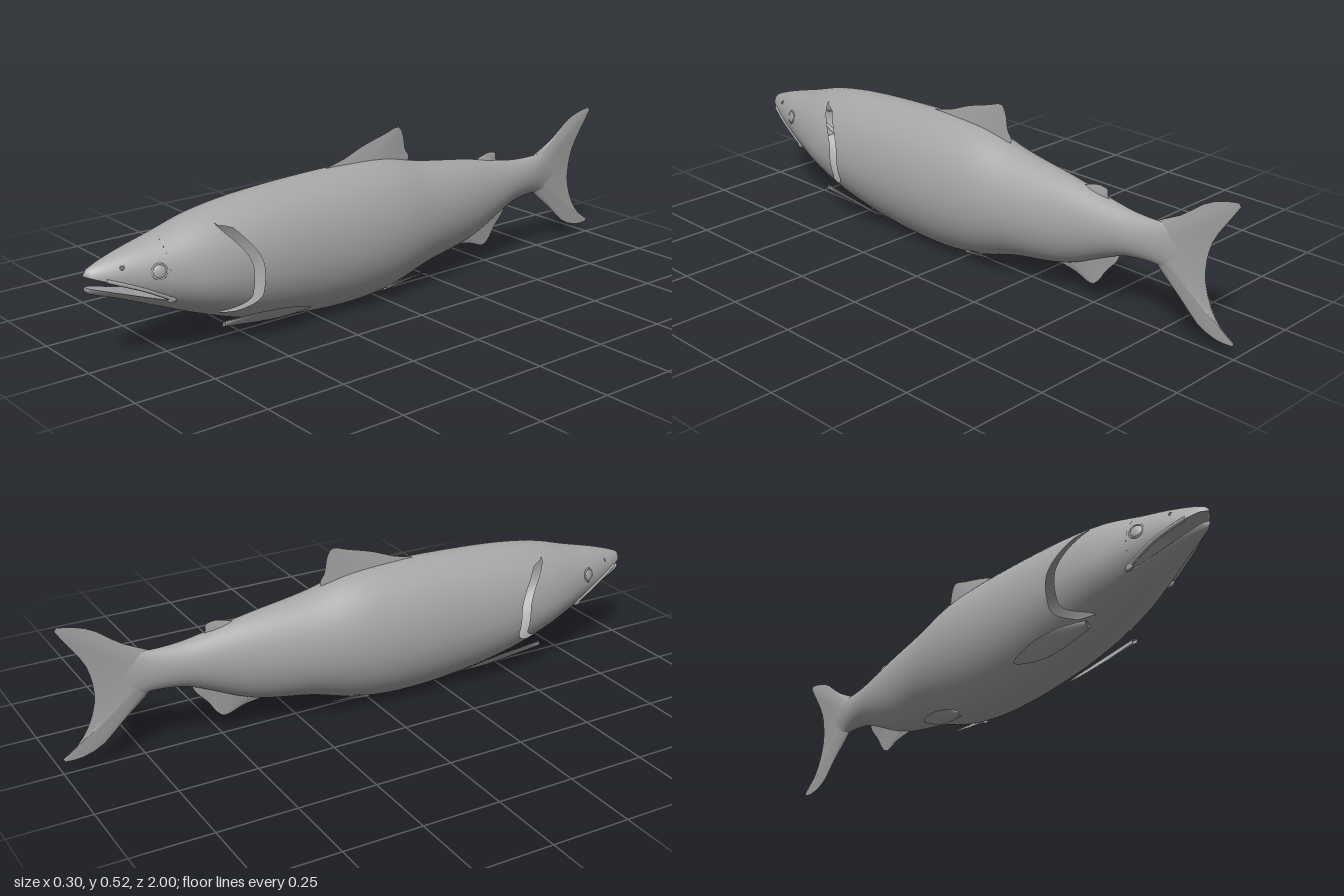
import * as THREE from 'three';

// Body stations from nose to tail: z, back height, belly height, half width, height of widest point
const STATIONS = [
  [1.0, .29, .245, 0, .27], [.985, .305, .232, .022, .27], [.9, .335, .2, .058, .265],
  [.78, .367, .15, .095, .25], [.65, .403, .097, .128, .23], [.5, .425, .047, .143, .22],
  [.3, .438, .012, .148, .215], [.1, .442, .002, .15, .215], [-.05, .435, .018, .141, .22],
  [-.2, .402, .06, .119, .225], [-.4, .372, .1, .085, .235], [-.6, .335, .185, .048, .26],
  [-.7, .33, .2, .03, .265], [-.78, .335, .195, .014, .265], [-.84, .33, .2, .004, .265],
];
const { lerp, smoothstep, clamp } = THREE.MathUtils;
const MOUTH = .78; // z of the mouth corner

// Smooth interpolation between stations
function section(z) {
  let i = 0;
  while (i < STATIONS.length - 2 && z < STATIONS[i + 1][0]) i++;
  const p = STATIONS[i], q = STATIONS[i + 1];
  const before = STATIONS[Math.max(i - 1, 0)], after = STATIONS[Math.min(i + 2, STATIONS.length - 1)];
  const d = q[0] - p[0], s = clamp((z - p[0]) / d, 0, 1);
  const val = (c) => {
    const m0 = (q[c] - before[c]) / (q[0] - before[0]) * d;
    const m1 = (after[c] - p[c]) / (after[0] - p[0]) * d;
    const s2 = s * s, s3 = s2 * s;
    return (2 * s3 - 3 * s2 + 1) * p[c] + (s3 - 2 * s2 + s) * m0 + (3 * s2 - 2 * s3) * q[c] + (s3 - s2) * m1;
  };
  return { top: val(1), bot: val(2), w: Math.max(val(3), 0), mid: val(4) };
}

// Point on the skin; t = 0 at the back ridge, PI at the belly
function skin(z, t) {
  const s = section(z), c = Math.cos(t), n = Math.sin(t);
  const y = s.mid + c * (c > 0 ? s.top - s.mid : s.mid - s.bot);
  return [s.w * Math.sign(n) * Math.abs(n) ** 1.12, y, z];
}
function angleAt(z, y) {
  const s = section(z), h = y > s.mid ? s.top - s.mid : s.mid - s.bot;
  return Math.acos(clamp((y - s.mid) / h, -1, 1));
}

// Grid surface closed around v
function loft(f, nu, nv) {
  const pos = [], idx = [];
  for (let i = 0; i <= nu; i++) for (let j = 0; j < nv; j++) pos.push(...f(i / nu, j / nv));
  for (let i = 0; i < nu; i++) for (let j = 0; j < nv; j++) {
    const k = (j + 1) % nv, a = i * nv + j, b = i * nv + k, c = a + nv, d = b + nv;
    idx.push(a, b, c, b, d, c);
  }
  const g = new THREE.BufferGeometry();
  g.setAttribute('position', new THREE.Float32BufferAttribute(pos, 3));
  g.setIndex(idx);
  g.computeVertexNormals();
  return g;
}

// Lens-section fin between a root line and an edge curve, points as (z, y)
function fin(root, edge, thick) {
  const curve = (pts) => new THREE.CatmullRomCurve3(pts.map(([z, y]) => new THREE.Vector3(0, y, z)), false, 'centripetal');
  const a = curve(root), b = curve(edge), n = 64;
  return loft((u, v) => {
    const s = v < .5 ? v * 2 : 2 - v * 2;
    const p = a.getPoint(s).lerp(b.getPoint(s), u);
    p.x = thick * (1 - .9 * u) * Math.sin(Math.PI * s) ** .6 * (v < .5 ? 1 : -1);
    return p.toArray();
  }, 8, n);
}

// Gill opening: rear rim of the head and front rim of the body
const bulge = (t) => {
  const a = t > Math.PI ? 2 * Math.PI - t : t;
  return smoothstep(a, .55, 1.5) * (1 - smoothstep(a, 1.95, 2.6));
};
const headRim = (t) => .62 - .085 * bulge(t);
const bodyRim = (t) => headRim(t) - .034 * smoothstep(bulge(t), .01, .14);

// Lip heights, parting forward of the mouth corner
const upperLip = (k) => .185 + .1 * k ** .75;
const lowerLip = (k) => .185 + .07 * k;

function jaw(upper) {
  return loft((u, v) => {
    const k = 1 - (1 - u) ** 1.6, z = lerp(MOUTH, 1, k), s = section(z);
    const lip = upper ? upperLip(k) : lowerLip(k);
    const t = angleAt(z, lip), half = skin(z, t)[0];
    const narrow = upper ? 1 : 1 - .2 * k;
    if (v < .7) {
      const q = v / .7;
      const p = skin(z, upper ? lerp(-t, t, q) : lerp(t, 2 * Math.PI - t, q));
      return [p[0] * narrow, p[1], z];
    }
    // Mouth lining: arched roof or sunken floor
    const e = lerp(1, -1, (v - .7) / .3) * (upper ? 1 : -1);
    const depth = upper ? .4 * (s.top - lip) : -.3 * (lip - s.bot);
    return [e * half * narrow, lip + depth * Math.min(1, 4 * k) * (1 - e * e), z];
  }, 26, 60);
}

export function createModel() {
  const fish = new THREE.Group();
  fish.name = 'fish';
  const grey = new THREE.MeshStandardMaterial({ color: 0xa6a6a6, side: THREE.DoubleSide });
  grey.name = 'plain grey';
  const add = (name, geometry, parent = fish) => {
    const m = new THREE.Mesh(geometry, grey);
    m.name = name;
    parent.add(m);
    return m;
  };

  // Body and head shells, separated by the gill slits
  add('body', loft((u, v) => skin(lerp(bodyRim(v * 2 * Math.PI), -.84, u), v * 2 * Math.PI), 80, 96));
  add('head', loft((u, v) => skin(lerp(MOUTH, headRim(v * 2 * Math.PI), u), v * 2 * Math.PI), 20, 96));
  add('upperJaw', jaw(true));
  add('lowerJaw', jaw(false));

  // Fins on the centre line
  add('dorsalFin', fin([[.19, .42], [0, .42], [-.15, .39]],
    [[.19, .438], [.1, .46], [.03, .487], [-.06, .512], [-.115, .525], [-.132, .5], [-.142, .45], [-.157, .425], [-.15, .4]], .009));
  add('adiposeFin', fin([[-.45, .35], [-.54, .335]],
    [[-.45, .362], [-.48, .372], [-.51, .377], [-.537, .37], [-.54, .35], [-.55, .338]], .008));
  add('analFin', fin([[-.31, .11], [-.45, .14], [-.6, .2]],
    [[-.31, .092], [-.42, .08], [-.49, .06], [-.515, .078], [-.54, .115], [-.58, .16], [-.59, .18]], .011));
  add('tailFin', fin([[-.72, .325], [-.74, .265], [-.72, .205]],
    [[-.72, .333], [-.8, .372], [-.88, .43], [-.94, .452], [-.99, .457], [-.955, .4], [-.91, .33], [-.892, .265],
      [-.892, .2], [-.92, .125], [-.96, .075], [-1, .045], [-.95, .04], [-.88, .063], [-.81, .125], [-.72, .2]], .016));

  // Paired parts, mirrored across the centre plane
  const leaf = (len, wide) => fin([[0, wide * .2], [0, 0], [0, -wide * .2]],
    [[0, wide * .2], [-len * .35, wide * .5], [-len * .75, wide * .4], [-len, 0],
      [-len * .7, -wide * .45], [-len * .3, -wide * .42], [0, -wide * .2]], .007);
  for (const side of [1, -1]) {
    const pair = new THREE.Group();
    pair.name = side > 0 ? 'leftParts' : 'rightParts';
    pair.scale.x = side;
    fish.add(pair);

    const pectoral = add('pectoralFin', leaf(.3, .062), pair);
    pectoral.position.set(.088, .077, .61);
    pectoral.rotation.set(-.05, -.06, -.75);

    const pelvic = add('pelvicFin', leaf(.17, .05), pair);
    pelvic.position.set(.05, .03, -.02);
    pelvic.rotation.set(.13, -.08, -.95);

    // Slightly domed eye with a raised rim
    const eye = new THREE.Group();
    eye.name = 'eye';
    eye.position.set(skin(.81, angleAt(.81, .28))[0] - .001, .28, .81);
    eye.lookAt(eye.position.clone().add(new THREE.Vector3(.93, .2, .32)));
    pair.add(eye);
    add('eyeball', new THREE.SphereGeometry(.019, 24, 12).scale(1, 1, .3), eye);
    add('eyeRim', new THREE.TorusGeometry(.021, .003, 8, 28), eye);

    // Nostril
    const nx = skin(.905, angleAt(.905, .302))[0];
    const nostril = add('nostril', new THREE.TorusGeometry(.005, .002, 6, 14), pair);
    nostril.position.set(nx, .302, .905);
    nostril.lookAt(nx + .7, .8, 1.3);

    // Lip bone running back past the mouth corner
    const path = [.95, .9, .85, .8, .77].map((z) => {
      const y = upperLip(Math.max((z - MOUTH) / .22, 0)) + .004;
      return new THREE.Vector3(skin(z, angleAt(z, y))[0], y, z);
    });
    add('lipBone', new THREE.TubeGeometry(new THREE.CatmullRomCurve3(path), 24, .006, 8), pair);
    const tip = add('lipBoneEnd', new THREE.SphereGeometry(.012, 14, 10).scale(.5, 1, 1.3), pair);
    tip.position.copy(path[4]);
  }
  return fish;
}
